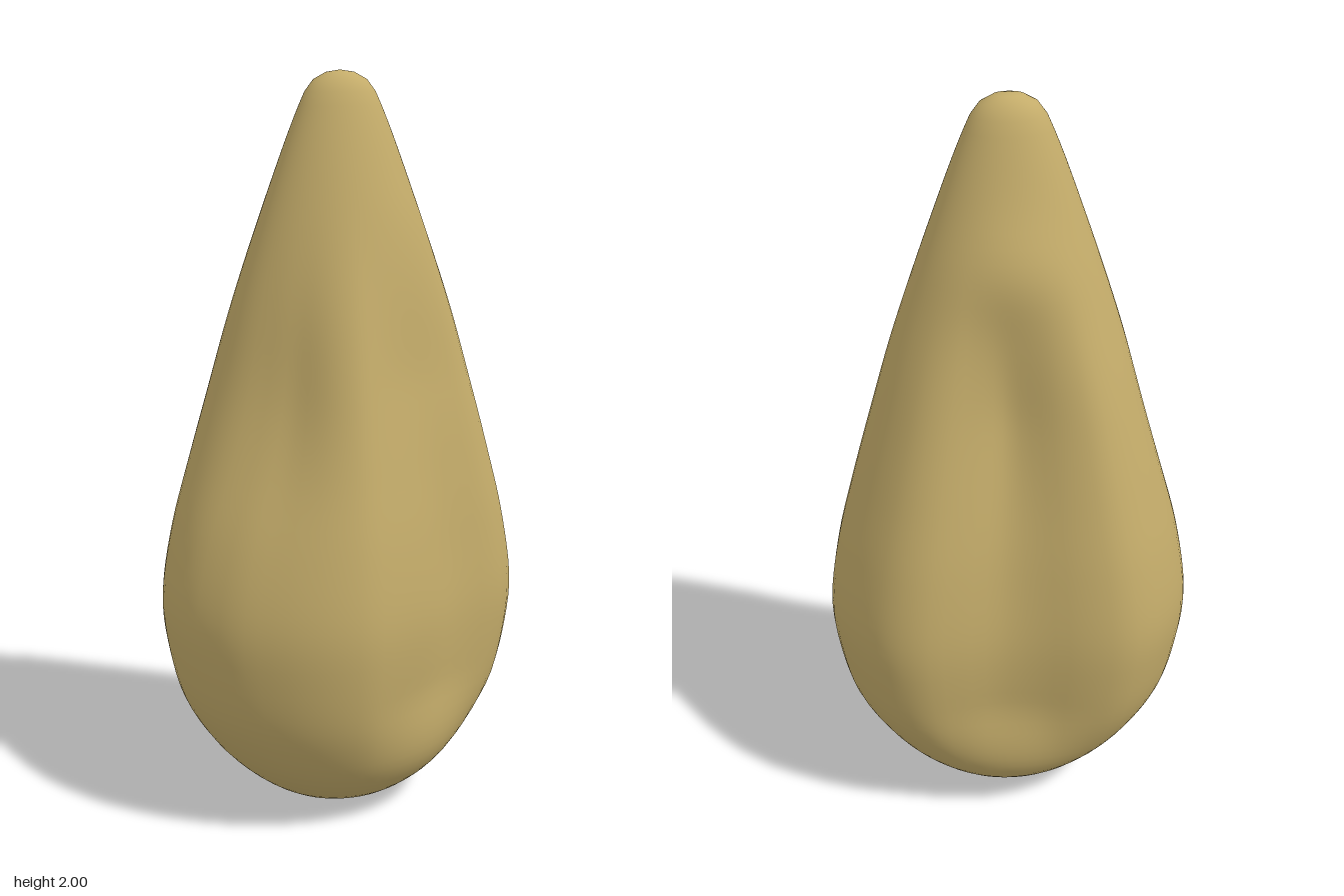
import * as THREE from 'three';
import { mergeVertices } from 'three/addons/utils/BufferGeometryUtils.js';

// Half-width up the height: [half-width, y]
const PROFILE = [
  [0, 0], [0.11, 0.02], [0.2, 0.06], [0.29, 0.13], [0.37, 0.22], [0.44, 0.34],
  [0.476, 0.48], [0.489, 0.63], [0.46, 0.82], [0.41, 1.01], [0.355, 1.2], [0.295, 1.4],
  [0.225, 1.6], [0.152, 1.8], [0.108, 1.91], [0.083, 1.96], [0.05, 1.99], [0, 2],
];

// Widest cross-section, from the front round by +x: [x, z]
const SECTION = [
  [-0.01, 0.372], [0.06, 0.34], [0.14, 0.292], [0.22, 0.245], [0.3, 0.2], [0.37, 0.16],
  [0.43, 0.125], [0.475, 0.07], [0.49, 0], [0.48, -0.08], [0.45, -0.15], [0.4, -0.22],
  [0.34, -0.275], [0.26, -0.303], [0.16, -0.295], [0.06, -0.282], [-0.06, -0.292],
  [-0.18, -0.317], [-0.28, -0.317], [-0.35, -0.28], [-0.4, -0.23], [-0.45, -0.16],
  [-0.48, -0.08], [-0.49, 0], [-0.48, 0.075], [-0.45, 0.15], [-0.4, 0.217], [-0.35, 0.27],
  [-0.27, 0.32], [-0.19, 0.355], [-0.1, 0.375],
];

// Soft hollows (negative) and swellings: angle from front, height, spreads, depth
const DENTS = [
  { angle: -0.85, y: 1.15, da: 0.55, dy: 0.33, depth: -0.065 },
  { angle: 1.0, y: 0.72, da: 0.35, dy: 0.35, depth: -0.03 },
  { angle: 3.05, y: 1.2, da: 0.55, dy: 0.3, depth: -0.035 },
  { angle: 3.05, y: 0.75, da: 0.4, dy: 0.25, depth: -0.012 },
  { angle: 3.1, y: 1.6, da: 0.85, dy: 0.12, depth: 0.02 },
];

const SEGMENTS = 72;
const MAX_WIDTH = 0.489;
const AXIS_Z = -0.03;

const { lerp, smoothstep } = THREE.MathUtils;
const bump = (d, spread) => Math.exp(-((d / spread) ** 2));
const wrap = (a) => Math.atan2(Math.sin(a), Math.cos(a));

function seedGeometry() {
  const profile = new THREE.SplineCurve(PROFILE.map(([r, y]) => new THREE.Vector2(r, y)));
  const points = profile.getSpacedPoints(64).map((p) => new THREE.Vector2(Math.max(p.x, 0), p.y));
  points[0].x = points[64].x = 0;
  const section = new THREE.CatmullRomCurve3(
    SECTION.map(([x, z]) => new THREE.Vector3(x, 0, z)), true);
  const outline = section.getSpacedPoints(SEGMENTS);

  // Reshape each round ring into the lobed section, rounder at both ends
  const lathe = new THREE.LatheGeometry(points, SEGMENTS);
  const pos = lathe.attributes.position;
  for (let i = 0; i < pos.count; i++) {
    const ring = points[i % points.length];
    const p = outline[Math.floor(i / points.length)];
    const y = ring.y;
    const scale = ring.x / MAX_WIDTH;
    const angle = Math.atan2(p.x, p.z);
    const sin = Math.sin(angle), cos = Math.cos(angle);
    const depth = lerp(0.4, 0.36, smoothstep(y, 0.1, 1));
    const round = 1 / Math.hypot(sin / MAX_WIDTH, cos / depth);
    const lobed = smoothstep(y, 0.1, 0.42) * (1 - smoothstep(y, 1.2, 1.7));
    let r = lerp(round, Math.hypot(p.x, p.z), lobed) * scale;
    for (const d of DENTS) {
      r += d.depth * bump(wrap(angle - d.angle), d.da) * bump(y - d.y, d.dy) * Math.min(1, scale * 3);
    }
    pos.setXYZ(i, r * sin, y, AXIS_Z + r * cos);
  }

  // Weld the seam and poles for smooth normals
  lathe.deleteAttribute('uv');
  lathe.deleteAttribute('normal');
  const geometry = mergeVertices(lathe, 1e-5);
  geometry.computeVertexNormals();
  return geometry;
}

export function createModel() {
  const group = new THREE.Group();
  const seed = new THREE.Mesh(seedGeometry(), new THREE.MeshStandardMaterial({ color: 0xc4ac6a }));
  seed.name = 'seed';
  group.add(seed);
  return group;
}
